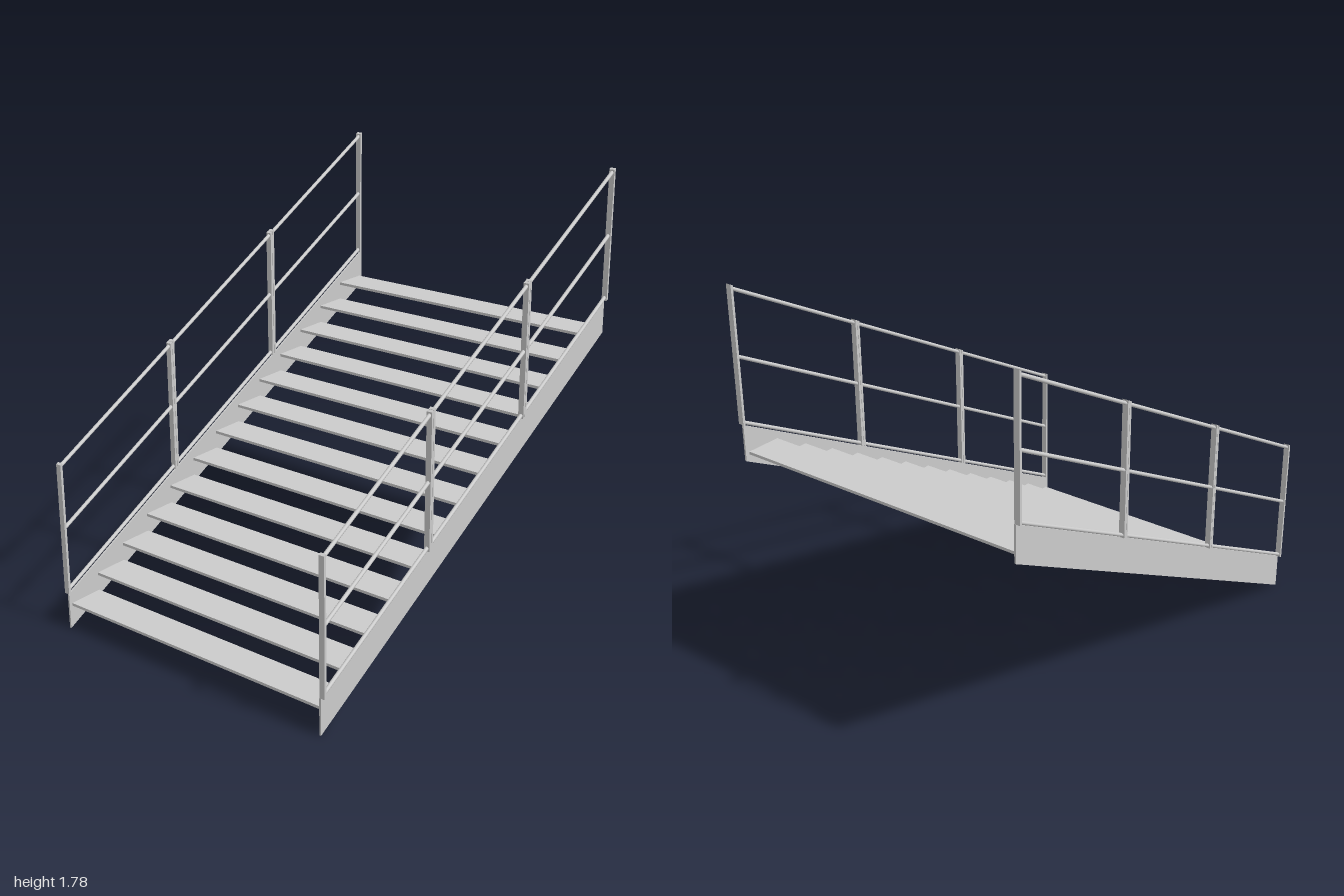
import * as THREE from 'three';

const SLOPE = 0.525; // rise per unit of run, climbing towards -z
const RAIL_X = 0.675;
const lineY = (z, base) => base + (1 - z) * SLOPE;

export function createModel() {
  const stairs = new THREE.Group();
  stairs.name = 'staircase';
  const grey = new THREE.MeshStandardMaterial({ color: 0xcccccc });

  const add = (parent, name, geometry, x, y, z) => {
    const mesh = new THREE.Mesh(geometry, grey);
    mesh.name = name;
    mesh.position.set(x, y, z);
    parent.add(mesh);
    return mesh;
  };

  // Shears a geometry so it follows the pitch while its ends stay vertical
  const pitch = (geometry) =>
    geometry.applyMatrix4(new THREE.Matrix4().set(
      1, 0, 0, 0,
      0, 1, -SLOPE, 0,
      0, 0, 1, 0,
      0, 0, 0, 1));

  // Thin flat treads
  const treadGeo = new THREE.BoxGeometry(1.325, 0.012, 0.153);
  for (let i = 0; i < 13; i++) {
    add(stairs, 'tread', treadGeo, 0, 0.105 + i * 0.0812, 0.909 - i * 0.1512);
  }

  const stringerGeo = pitch(new THREE.BoxGeometry(0.008, 0.157, 2));
  const sectionLength = 2 / 3;
  const railGeo = pitch(
    new THREE.CylinderGeometry(0.0085, 0.0085, sectionLength - 0.02, 12).rotateX(Math.PI / 2));
  const postGeo = pitch(new THREE.BoxGeometry(0.025, 0.578, 0.011));

  for (const side of [-1, 1]) {
    const flank = new THREE.Group();
    flank.name = side > 0 ? 'leftSide' : 'rightSide';
    stairs.add(flank);

    // Sloping side plate
    add(flank, 'stringer', stringerGeo, side * 0.666, lineY(0, 0.0785), 0);

    // Three railing sections, each a frame with its own end posts
    for (let s = 0; s < 3; s++) {
      const section = new THREE.Group();
      section.name = 'railingSection';
      flank.add(section);
      const mid = 1 - sectionLength * (s + 0.5);

      for (const [name, base] of [['bottomRail', 0.168], ['middleRail', 0.445], ['handrail', 0.72]]) {
        add(section, name, railGeo, side * RAIL_X, lineY(mid, base), mid);
      }
      for (const end of [-1, 1]) {
        const z = mid + end * (sectionLength / 2 - 0.0062);
        add(section, 'post', postGeo, side * RAIL_X, lineY(z, 0.445), z);
      }
    }
  }
  return stairs;
}
